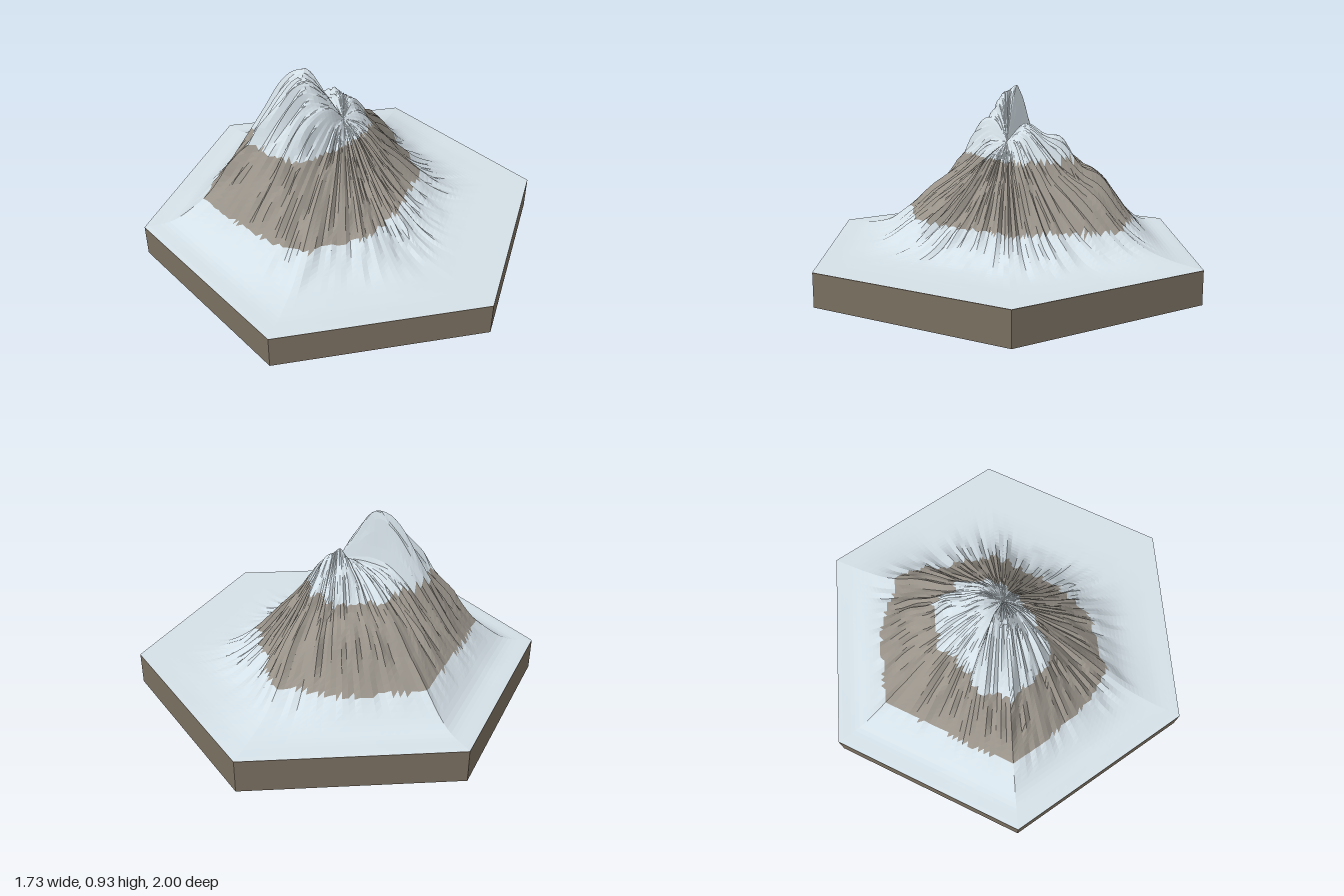
import * as THREE from 'three';

const FLOOR = 0.162, SUMMIT = 0.67, RAYS = 144, RINGS = 40;

// Ridge and valley profiles: compass angle, then heights at the hexagonal distances below
const DISTANCES = [0, 0.1, 0.2, 0.3, 0.4, 0.5, 0.6, 0.7, 0.85, 1];
const PROFILES = [
  [0, [0.59, 0.48, 0.37, 0.28, 0.21, 0.175, 0.165, FLOOR]],
  [30, [0.60, 0.47, 0.36, 0.28, 0.21, 0.175, 0.165, FLOOR]],
  [60, [0.60, 0.52, 0.45, 0.39, 0.31, 0.24, 0.19, 0.165]],
  [90, [0.66, 0.57, 0.50, 0.43, 0.36, 0.28, 0.21, 0.17]],
  [120, [0.76, 0.77, 0.72, 0.61, 0.49, 0.39, 0.28, 0.18]],
  [150, [0.82, 0.90, 0.80, 0.68, 0.54, 0.41, 0.30, 0.185]],
  [167, [0.80, 0.93, 0.87, 0.72, 0.57, 0.43, 0.31, 0.19]],
  [180, [0.68, 0.68, 0.66, 0.60, 0.50, 0.40, 0.30, 0.185]],
  [210, [0.70, 0.68, 0.63, 0.56, 0.49, 0.40, 0.30, 0.185]],
  [240, [0.76, 0.71, 0.69, 0.57, 0.53, 0.42, 0.31, 0.19]],
  [270, [0.73, 0.65, 0.54, 0.48, 0.41, 0.31, 0.235, 0.185]],
  [300, [0.68, 0.58, 0.48, 0.38, 0.29, 0.23, 0.185, 0.165]],
  [330, [0.62, 0.50, 0.39, 0.29, 0.22, 0.18, 0.165, FLOOR]],
].map(([angle, heights]) => ({
  angle,
  curve: new THREE.CubicInterpolant(DISTANCES, [SUMMIT, ...heights, FLOOR], 1, [0]),
}));

// Repeatable value from 0 to 1 for a pair of whole numbers
function hash(a, b) {
  const s = Math.sin(a * 127.1 + b * 311.7) * 43758.5453;
  return s - Math.floor(s);
}

// Height between the two neighbouring profiles
function heightAt(angle, distance) {
  const n = PROFILES.length;
  let k = n - 1;
  while (PROFILES[k].angle > angle) k--;
  const a = PROFILES[k], b = PROFILES[(k + 1) % n];
  const end = k === n - 1 ? 360 : b.angle;
  const mix = THREE.MathUtils.smoothstep(angle, a.angle, end);
  return THREE.MathUtils.lerp(a.curve.evaluate(distance)[0], b.curve.evaluate(distance)[0], mix);
}

// Point on a hexagonal ring, with gullies that run down the slope
function terrainPoint(ray, ring) {
  const j = ray % RAYS, t = ring / RINGS;
  const angle = (j / RAYS) * 360;
  const rad = THREE.MathUtils.degToRad(angle);
  const fromFace = THREE.MathUtils.degToRad(((angle + 30) % 60) - 30);
  const r = (t * Math.sqrt(3) / 2) / Math.cos(fromFace);
  const band = Math.floor(t * 7), f = t * 7 - band;
  const gully = THREE.MathUtils.lerp(hash(j, band), hash(j, band + 1), f) - 0.5;
  const rough = 0.06 * Math.sin(Math.PI * Math.min(1, t / 0.8)) * (t < 0.8 ? 1 : 0);
  const shifted = THREE.MathUtils.clamp(t + gully * rough, 0, 1);
  const y = Math.max(FLOOR, heightAt(angle, shifted));
  return new THREE.Vector3(r * Math.cos(rad), y, r * Math.sin(rad));
}

function flatGeometry(points) {
  const geometry = new THREE.BufferGeometry().setFromPoints(points);
  geometry.computeVertexNormals();
  return geometry;
}

export function createModel() {
  const model = new THREE.Group();
  model.name = 'mountainTile';
  const material = (name, color, flatShading = true) => {
    const m = new THREE.MeshStandardMaterial({ color, flatShading });
    m.name = name;
    return m;
  };
  const snow = material('snow', 0xd4e0e7);
  const rock = material('rock', 0x99938a);
  const earth = material('earth', 0x7a6f61);

  const add = (name, geometry, mat) => {
    const mesh = new THREE.Mesh(geometry, mat);
    mesh.name = name;
    model.add(mesh);
    return mesh;
  };

  // Hexagonal base
  add('base', new THREE.CylinderGeometry(1, 1, 0.16, 6), earth).position.y = 0.08;

  // Mountain faces sorted into lower snow, bare rock and snow cap by height
  const faces = { snowField: [], rockBand: [], snowCap: [] };
  const addFace = (a, b, c) => {
    const y = (a.y + b.y + c.y) / 3;
    const part = y < 0.295 ? 'snowField' : y < 0.59 ? 'rockBand' : 'snowCap';
    faces[part].push(a, b, c);
  };
  for (let j = 0; j < RAYS; j++) {
    for (let i = 0; i < RINGS; i++) {
      const a = terrainPoint(j, i), b = terrainPoint(j + 1, i);
      const c = terrainPoint(j + 1, i + 1), d = terrainPoint(j, i + 1);
      if (i > 0) addFace(a, b, c);
      addFace(a, c, d);
    }
  }
  for (const [name, points] of Object.entries(faces)) {
    add(name, flatGeometry(points), name === 'rockBand' ? rock : snow);
  }
  return model;
}
